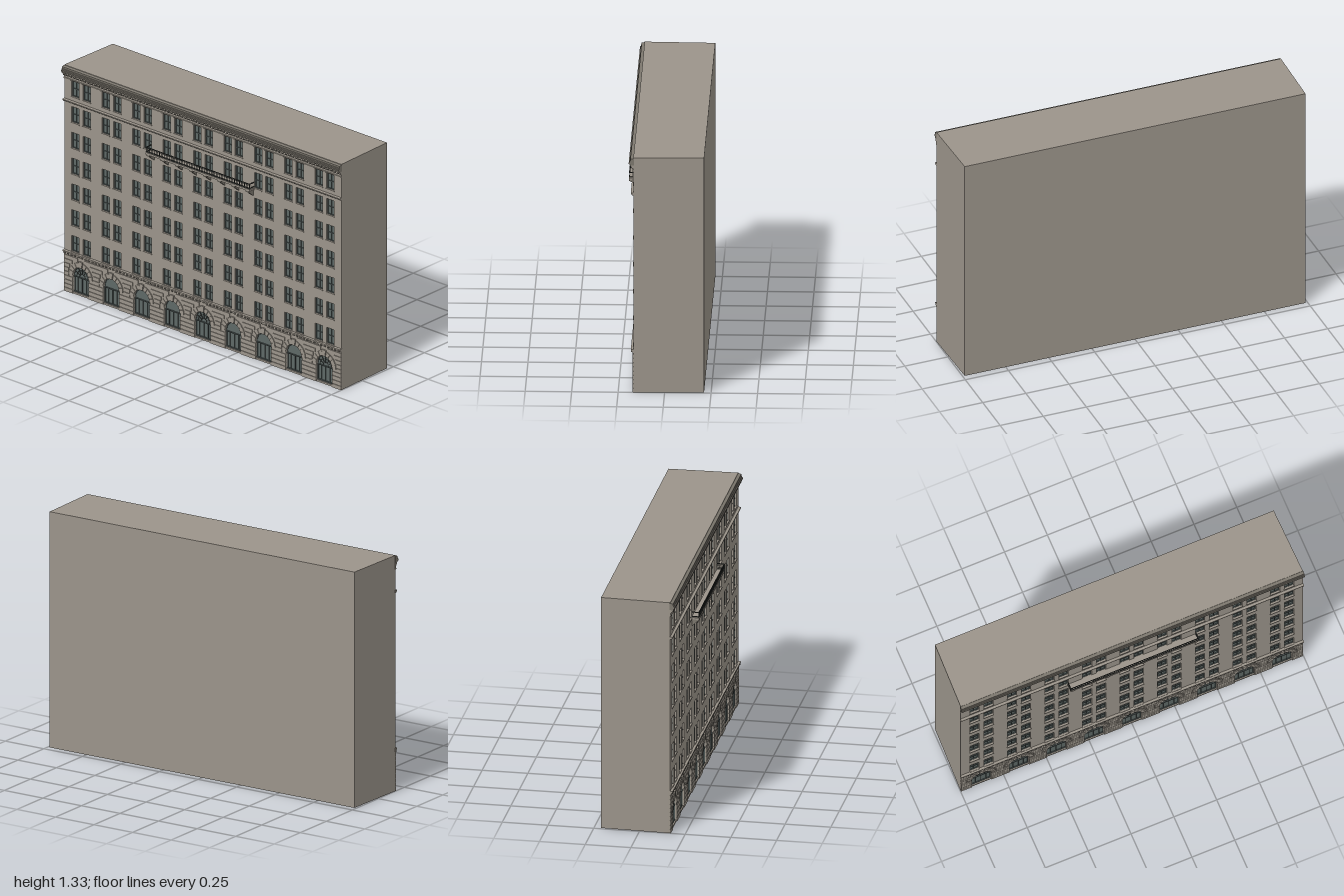
import * as THREE from 'three';
import { mergeGeometries } from 'three/addons/utils/BufferGeometryUtils.js';

const mat = (name, color) => Object.assign(new THREE.MeshStandardMaterial({ color }), { name });
const BAYS = 9, FLOORS = 7, TOP = 1.326, FRONT = 0.168, RECESS = 0.153;
const ARCH_R = 0.057, ARCH_Y = 0.109, DOOR_Y = 0.01;
const bayX = i => (i - (BAYS - 1) / 2) * 0.2193;
const floorY = j => 0.246 + j * 0.1515;
const WIN_W = 0.054, WIN_H = 0.092, WIN_DX = 0.041;

export function createModel() {
  const stone = mat('stone', 0x9b948a);
  const trim = mat('darkStone', 0x7b766d);
  const glass = mat('glass', 0x5e6866);
  const frame = mat('windowFrame', 0x4d5655);
  const iron = mat('iron', 0x343735);
  const group = new THREE.Group();
  group.name = 'building';

  const add = (name, geos, material) => {
    const mesh = new THREE.Mesh(mergeGeometries([].concat(geos)), material);
    mesh.name = name;
    group.add(mesh);
  };
  // box given by its min and max corners
  const box = (x0, x1, y0, y1, z0, z1) =>
    new THREE.BoxGeometry(x1 - x0, y1 - y0, z1 - z0)
      .translate((x0 + x1) / 2, (y0 + y1) / 2, (z0 + z1) / 2);
  const extrude = (shape, depth, z) =>
    new THREE.ExtrudeGeometry(shape, { depth, bevelEnabled: false, curveSegments: 16 }).translate(0, 0, z);
  // profile of [z, y] points swept along x
  const moulding = (points, x0, x1) =>
    new THREE.ExtrudeGeometry(new THREE.Shape(points.map(p => new THREE.Vector2(...p))),
      { depth: x1 - x0, bevelEnabled: false }).rotateY(-Math.PI / 2).translate(x1, 0, 0);
  const rect = (path, x, y, w, h) => {
    path.moveTo(x - w / 2, y);
    path.lineTo(x + w / 2, y);
    path.lineTo(x + w / 2, y + h);
    path.lineTo(x - w / 2, y + h);
    path.closePath();
    return path;
  };
  const arch = (path, x) => {
    path.moveTo(x - ARCH_R, DOOR_Y);
    path.lineTo(x + ARCH_R, DOOR_Y);
    path.lineTo(x + ARCH_R, ARCH_Y);
    path.absarc(x, ARCH_Y, ARCH_R, 0, Math.PI, false);
    path.closePath();
    return path;
  };

  // main block, slightly narrower at the back
  const plan = new THREE.Shape([[-0.998, -RECESS], [0.998, -RECESS], [0.988, 0.212], [-0.988, 0.212]]
    .map(p => new THREE.Vector2(...p)));
  add('mainBlock', new THREE.ExtrudeGeometry(plan, { depth: TOP, bevelEnabled: false })
    .rotateX(-Math.PI / 2), stone);

  // facade pierced by windows and arches
  const facade = rect(new THREE.Shape(), 0, 0, 1.996, TOP);
  const panes = [], bars = [], sills = [], hoods = [];
  for (let i = 0; i < BAYS; i++) {
    facade.holes.push(arch(new THREE.Path(), bayX(i)));
    for (let j = 0; j < FLOORS; j++) for (const s of [-1, 1]) {
      const x = bayX(i) + s * WIN_DX, y = floorY(j), w = WIN_W / 2, z = RECESS + 0.003;
      facade.holes.push(rect(new THREE.Path(), x, y, WIN_W, WIN_H));
      panes.push(box(x - w, x + w, y, y + WIN_H, RECESS, z));
      for (const bx of [-w + 0.002, 0, w - 0.002])
        bars.push(box(x + bx - 0.002, x + bx + 0.002, y, y + WIN_H, z, z + 0.004));
      for (const by of [0.002, WIN_H / 2, WIN_H - 0.002])
        bars.push(box(x - w, x + w, y + by - 0.002, y + by + 0.002, z, z + 0.005));
      sills.push(box(x - w - 0.003, x + w + 0.003, y - 0.005, y, FRONT - 0.002, FRONT + 0.004));
      if (j === FLOORS - 1)
        hoods.push(box(x - w - 0.006, x + w + 0.006, y + WIN_H + 0.002, y + WIN_H + 0.007, FRONT, FRONT + 0.006));
    }
  }
  add('facade', extrude(facade, FRONT - RECESS, RECESS), stone);
  add('windowPanes', panes, glass);
  add('windowBars', bars, frame);
  add('windowSills', sills, stone);
  add('windowHoods', hoods, trim);

  // arched ground floor openings, with fanlights in the end and centre bays
  const archPanes = [], archBars = [], fans = [], voussoirs = [];
  for (let i = 0; i < BAYS; i++) {
    const x = bayX(i), z = RECESS + 0.003;
    archPanes.push(extrude(arch(new THREE.Shape(), x), 0.003, RECESS));
    archBars.push(box(x - ARCH_R, x + ARCH_R, 0.099, 0.104, z, z + 0.006));
    archBars.push(box(x - ARCH_R, x + ARCH_R, DOOR_Y, DOOR_Y + 0.006, z, z + 0.005));
    for (const dx of [-0.054, -0.031, 0, 0.031, 0.054])
      archBars.push(box(x + dx - 0.0015, x + dx + 0.0015, DOOR_Y, 0.1, z, z + 0.005));
    archBars.push(new THREE.TorusGeometry(ARCH_R - 0.002, 0.002, 4, 20, Math.PI).translate(x, ARCH_Y, z + 0.002));
    if (i % 4 === 0) {
      for (const r of [0.02, 0.04])
        fans.push(new THREE.TorusGeometry(r, 0.0017, 4, 16, Math.PI).translate(x, 0.104, z + 0.002));
      for (let k = 1; k < 6; k++)
        fans.push(box(0.018, ARCH_R, -0.0015, 0.0015, 0, 0.004)
          .rotateZ(k * Math.PI / 6).translate(x, 0.104, z));
    }
    // wedge stones around the arch
    for (let k = 0; k < 9; k++) {
      const a = k * Math.PI / 9 + 0.02, b = (k + 1) * Math.PI / 9 - 0.02;
      const wedge = new THREE.Shape();
      wedge.absarc(x, ARCH_Y, ARCH_R + (k === 4 ? 0.036 : 0.028), a, b, false);
      wedge.absarc(x, ARCH_Y, ARCH_R, b, a, true);
      voussoirs.push(new THREE.ExtrudeGeometry(wedge,
        { depth: k === 4 ? 0.008 : 0.005, bevelEnabled: false, curveSegments: 3 }).translate(0, 0, FRONT));
    }
  }
  add('archPanes', archPanes, glass);
  add('archBars', archBars, frame);
  add('fanlights', fans, iron);
  add('archStones', voussoirs, stone);

  // rusticated courses between the arches
  const courses = [];
  for (let k = 0; k < 9; k++) {
    const y0 = k * 0.0242, y1 = y0 + 0.0215, R = ARCH_R + 0.031;
    const half = y1 < ARCH_Y + 0.005 ? ARCH_R : Math.sqrt(Math.max(0, R * R - Math.max(0, y0 - ARCH_Y) ** 2));
    for (let i = 0; i <= BAYS; i++) {
      const x0 = i === 0 ? -0.998 : bayX(i - 1) + half;
      const x1 = i === BAYS ? 0.998 : bayX(i) - half;
      courses.push(box(x0, x1, y0, y1, FRONT - 0.001, FRONT + 0.004));
    }
  }
  add('rusticatedCourses', courses, stone);

  // string courses
  add('lowerCornice', moulding([[0.165, 0.219], [0.173, 0.219], [0.173, 0.227], [0.178, 0.23],
    [0.178, 0.234], [0.182, 0.236], [0.182, 0.241], [0.165, 0.243]], -1, 1), stone);
  add('upperStringCourse', moulding([[0.165, 1.115], [0.174, 1.115], [0.176, 1.12],
    [0.182, 1.122], [0.182, 1.128], [0.165, 1.131]], -1, 1), stone);

  // main cornice
  add('corniceBase', moulding([[0.165, 1.246], [0.173, 1.248], [0.173, 1.254], [0.17, 1.256], [0.17, 1.266],
    [0.177, 1.268], [0.177, 1.274], [0.18, 1.276], [0.18, 1.284], [0.165, 1.284]], -1, 1), stone);
  add('corniceCrown', moulding([[0.165, 1.284], [0.187, 1.284], [0.187, 1.29], [0.193, 1.292], [0.193, 1.3],
    [0.188, 1.301], [0.188, 1.308], [0.184, 1.309], [0.184, 1.319], [0.165, 1.324]], -1, 1), trim);

  // dentils below both cornices
  const dentils = [];
  for (let k = 0; k < 80; k++) {
    const x = -0.9875 + k * 0.025;
    dentils.push(box(x - 0.006, x + 0.006, 0.226, 0.234, 0.17, 0.181));
    dentils.push(box(x - 0.006, x + 0.006, 1.276, 1.285, 0.17, 0.186));
  }
  add('dentils', dentils, trim);

  // balcony
  const HALF = 0.374, OUT = 0.21;
  add('balconySlab', box(-HALF, HALF, 0.996, 1.007, FRONT, OUT), stone);
  const brackets = [];
  for (let k = 0; k < 8; k++) {
    const x = -0.357 + k * 0.102;
    brackets.push(moulding([[0.165, 0.957], [0.173, 0.957], [0.178, 0.965], [0.188, 0.97], [0.194, 0.979],
      [0.205, 0.985], [0.208, 0.996], [0.165, 0.996]], x - 0.007, x + 0.007));
    brackets.push(moulding([[0.165, 0.989], [0.21, 0.989], [0.21, 0.997], [0.165, 0.997]], x - 0.011, x + 0.011));
  }
  add('balconyBrackets', brackets, trim);
  const rail = [];
  for (const y of [1.013, 1.038]) {
    rail.push(box(-HALF, HALF, y - 0.002, y + 0.002, OUT - 0.004, OUT));
    for (const s of [-1, 1])
      rail.push(box(s * (HALF - 0.002) - 0.002, s * (HALF - 0.002) + 0.002, y - 0.002, y + 0.002, FRONT, OUT));
  }
  for (let k = 0; k <= 62; k++) {
    const x = -HALF + 0.002 + k * (2 * HALF - 0.004) / 62, w = k % 8 === 0 ? 0.002 : 0.001;
    rail.push(box(x - w, x + w, 1.006, 1.038, OUT - 0.003, OUT - 0.001));
  }
  add('balconyRailing', rail, iron);
  return group;
}
